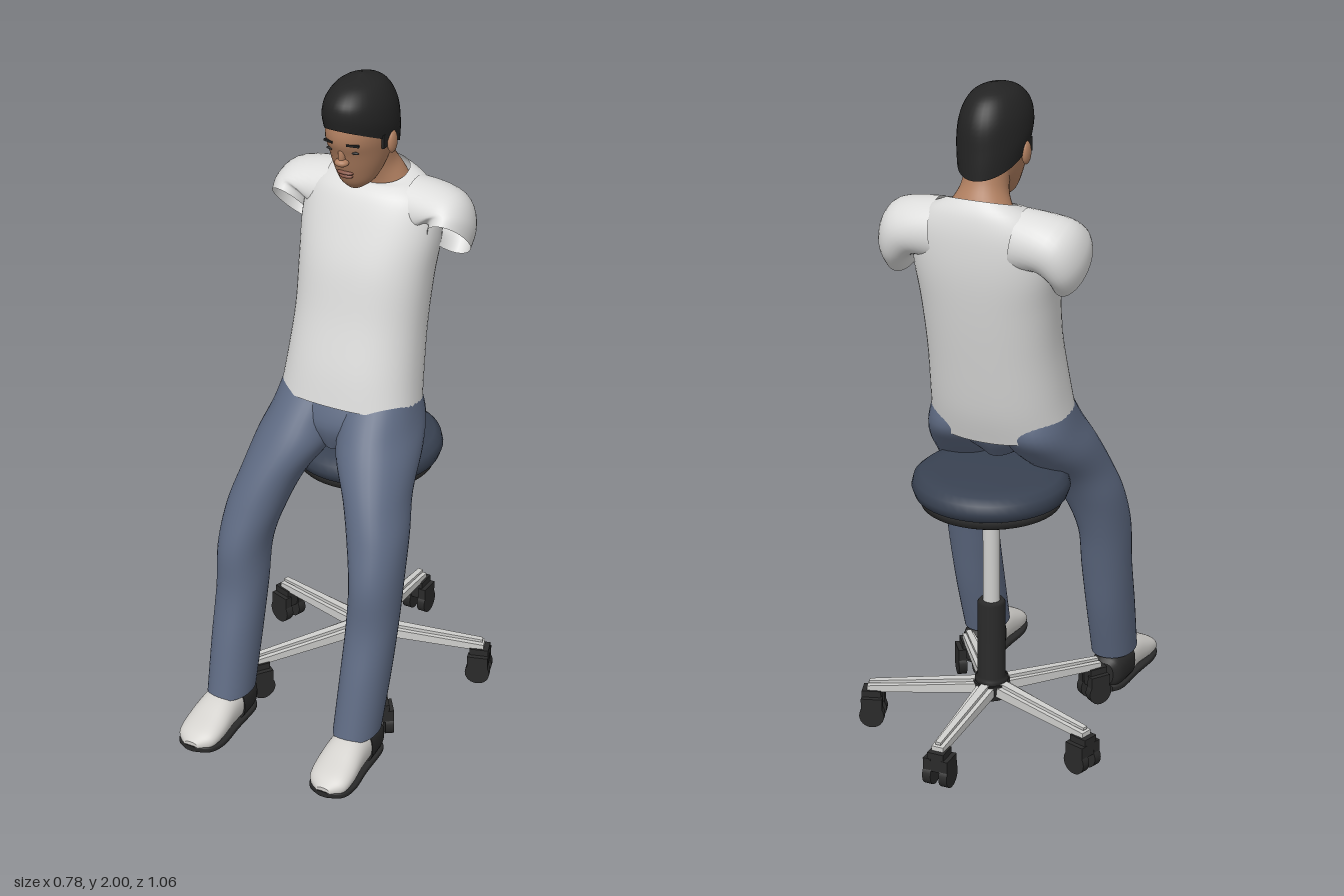
import * as THREE from 'three';

const mat = (name, color, side = THREE.FrontSide) => {
  const m = new THREE.MeshStandardMaterial({ color, side });
  m.name = name;
  return m;
};

// Smooth loft through rings, listed from start to end.
// Ring: [x, y, z, halfWidth, halfDepth, tilt about x, roll about z]
function loft(rings, { n = 36, steps = 5, power = 2, caps = true } = {}) {
  const at = (i, k) => rings[Math.min(Math.max(i, 0), rings.length - 1)][k] || 0;
  const rows = [];
  for (let i = 0; i < rings.length - 1; i++) {
    for (let s = 0; s < steps + (i === rings.length - 2 ? 1 : 0); s++) {
      const t = s / steps;
      rows.push([0, 1, 2, 3, 4, 5, 6].map((k) => {
        const [a, b, c, d] = [at(i - 1, k), at(i, k), at(i + 1, k), at(i + 2, k)];
        return b + 0.5 * t * (c - a + t * (2 * a - 5 * b + 4 * c - d + t * (3 * (b - c) + d - a)));
      }));
    }
  }
  const pos = [], idx = [], e = 2 / power;
  const bend = (v) => Math.sign(v) * Math.pow(Math.abs(v), e);
  const addRing = ([x, y, z, rx, rz, tilt, roll]) => {
    const first = pos.length / 3, euler = new THREE.Euler(tilt, 0, roll);
    for (let j = 0; j < n; j++) {
      const q = (j / n) * Math.PI * 2;
      const p = new THREE.Vector3(rx * bend(Math.cos(q)), 0, rz * bend(Math.sin(q))).applyEuler(euler);
      pos.push(x + p.x, y + p.y, z + p.z);
    }
    return first;
  };
  rows.forEach(addRing);
  for (let i = 0; i < rows.length - 1; i++) {
    for (let j = 0; j < n; j++) {
      const k = (j + 1) % n, a = i * n + j, c = i * n + k;
      idx.push(a, a + n, c, c, a + n, c + n);
    }
  }
  if (caps) {
    [rows[0], rows[rows.length - 1]].forEach((row, end) => {
      const f = addRing(row), centre = pos.length / 3;
      pos.push(row[0], row[1], row[2]);
      for (let j = 0; j < n; j++) {
        const a = f + j, b = f + (j + 1) % n;
        idx.push(centre, end ? b : a, end ? a : b);
      }
    });
  }
  const g = new THREE.BufferGeometry();
  g.setAttribute('position', new THREE.Float32BufferAttribute(pos, 3));
  g.setIndex(idx);
  g.computeVertexNormals();
  return g;
}

const lathe = (pts) => new THREE.LatheGeometry(pts.map((p) => new THREE.Vector2(...p)), 48);
const mirror = (rings, s) => rings.map(([x, y, z, a, b, t = 0, r = 0]) => [x * s, y, z, a, b, t, r * s]);

export function createModel() {
  const model = new THREE.Group();
  const shirt = mat('shirt white', 0xdcdcdb, THREE.DoubleSide);
  const denim = mat('denim blue', 0x5e6a82);
  const cushion = mat('cushion navy', 0x394252);
  const metal = mat('polished metal', 0xcfcfcd);
  const black = mat('black plastic', 0x2a2a2a);
  const hairMat = mat('hair black', 0x232323);
  const skin = mat('skin', 0xb07f60);
  const lip = mat('lip brown', 0x875748);
  const canvas = mat('shoe grey', 0xd2d0cc);

  const add = (parent, name, geo, material, x = 0, y = 0, z = 0) => {
    const m = new THREE.Mesh(geo, material);
    m.name = name;
    m.position.set(x, y, z);
    parent.add(m);
    return m;
  };
  const ellipsoid = (parent, name, material, p, s) =>
    add(parent, name, new THREE.SphereGeometry(1, 20, 14), material, ...p).scale.set(...s);

  // Stool: cushion, gas lift and hub
  const stool = new THREE.Group();
  stool.name = 'stool';
  stool.position.z = -0.135;
  model.add(stool);
  add(stool, 'seatCushion', lathe([[0, 0.775], [0.2, 0.775], [0.222, 0.785], [0.231, 0.81],
    [0.225, 0.835], [0.205, 0.852], [0.16, 0.86], [0, 0.862]]), cushion);
  add(stool, 'seatPan', lathe([[0, 0.735], [0.09, 0.738], [0.185, 0.746], [0.205, 0.756], [0.208, 0.778], [0, 0.779]]), black);
  add(stool, 'liftRod', new THREE.CylinderGeometry(0.025, 0.025, 0.33, 28), metal, 0, 0.585, 0);
  add(stool, 'liftSleeve', lathe([[0, 0.16], [0.05, 0.16], [0.05, 0.18], [0.042, 0.185], [0.042, 0.425], [0.036, 0.433], [0, 0.433]]), black);
  add(stool, 'baseHub', new THREE.CylinderGeometry(0.055, 0.05, 0.05, 32), black, 0, 0.142, 0);

  // Five tapered arms, each with a twin-wheel caster
  const arm = (w, h, lift) => {
    const g = new THREE.BoxGeometry(w, h, 0.34);
    const p = g.attributes.position;
    for (let i = 0; i < p.count; i++) {
      const out = p.getZ(i) / 0.34 + 0.5;
      p.setX(i, p.getX(i) * (1 - 0.35 * out));
      p.setY(i, p.getY(i) * (1 - 0.3 * out) + lift - 0.028 * out);
    }
    g.computeVertexNormals();
    return g;
  };
  for (let i = 0; i < 5; i++) {
    const leg = new THREE.Group();
    leg.name = 'baseLeg';
    leg.rotation.y = Math.PI + (i * Math.PI * 2) / 5;
    stool.add(leg);
    add(leg, 'legArm', arm(0.056, 0.03, 0.147), metal, 0, 0, 0.205);
    add(leg, 'legRidge', arm(0.026, 0.012, 0.166), metal, 0, 0, 0.2);
    add(leg, 'casterHood', new THREE.BoxGeometry(0.05, 0.06, 0.058), black, 0, 0.085, 0.362);
    for (const s of [-1, 1]) {
      add(leg, 'casterWheel', new THREE.CylinderGeometry(0.038, 0.038, 0.026, 24).rotateZ(Math.PI / 2), black, s * 0.026, 0.038, 0.36);
      add(leg, 'casterFender', new THREE.BoxGeometry(0.024, 0.045, 0.064), black, s * 0.027, 0.072, 0.36);
    }
  }

  // Shirt body, open at hem and collar
  add(model, 'shirtBody', loft([
    [0, 1.0, -0.045, 0.215, 0.152, -0.27], [0, 1.1, -0.07, 0.205, 0.157, -0.27],
    [0, 1.25, -0.105, 0.197, 0.152, -0.25], [0, 1.4, -0.135, 0.202, 0.148, -0.25],
    [0, 1.52, -0.165, 0.212, 0.133, -0.25], [0, 1.61, -0.185, 0.2, 0.112, -0.2],
    [0, 1.662, -0.194, 0.155, 0.088, 0], [0, 1.685, -0.188, 0.1, 0.072, 0.3],
  ], { n: 56, power: 2.3, caps: false }), shirt);

  // Trousers seat
  add(model, 'trouserHips', loft([
    [0, 0.89, -0.02, 0.05, 0.1], [0, 0.97, -0.035, 0.185, 0.14], [0, 1.06, -0.05, 0.195, 0.125],
  ]), denim);

  for (const s of [-1, 1]) {
    const side = s > 0 ? 'left' : 'right';
    // Empty sleeves, opening forward and down
    add(model, side + 'Sleeve', loft(mirror([
      [0.255, 1.525, -0.15, 0.057, 0.102, -0.78, 0.15], [0.25, 1.56, -0.178, 0.064, 0.103, -0.6, 0.35],
      [0.21, 1.587, -0.19, 0.085, 0.1, -0.3, 0.9], [0.12, 1.585, -0.19, 0.095, 0.095, 0, 1.45],
    ], s), { caps: false }), shirt);
    // Trouser legs
    add(model, side + 'TrouserLeg', loft(mirror([
      [0.217, 0.113, 0.305, 0.066, 0.085], [0.22, 0.285, 0.26, 0.07, 0.09],
      [0.221, 0.44, 0.222, 0.073, 0.088], [0.221, 0.58, 0.199, 0.074, 0.101],
      [0.202, 0.7, 0.157, 0.085, 0.107], [0.172, 0.8, 0.105, 0.093, 0.12],
      [0.133, 0.9, 0.025, 0.116, 0.15], [0.112, 0.98, -0.03, 0.113, 0.155],
      [0.095, 1.07, -0.05, 0.108, 0.11],
    ], s), { power: 2.15 }), denim);
    // Shoes
    const h = Math.PI / 2;
    add(model, side + 'ShoeUpper', loft(mirror([
      [0.22, 0.07, 0.31, 0.056, 0.062, h], [0.221, 0.067, 0.38, 0.061, 0.057, h],
      [0.223, 0.05, 0.45, 0.066, 0.042, h], [0.225, 0.038, 0.5, 0.058, 0.028, h],
      [0.226, 0.03, 0.528, 0.022, 0.012, h],
    ], s), { power: 2.3 }), canvas);
    add(model, side + 'ShoeHeel', loft(mirror([
      [0.22, 0.06, 0.215, 0.03, 0.035, h], [0.22, 0.062, 0.24, 0.051, 0.054, h],
      [0.22, 0.066, 0.325, 0.06, 0.062, h],
    ], s), { power: 2.6 }), black);
    add(model, side + 'ShoeSole', loft(mirror([
      [0.22, 0.012, 0.215, 0.03, 0.012, h], [0.22, 0.012, 0.25, 0.053, 0.012, h],
      [0.221, 0.012, 0.36, 0.06, 0.012, h], [0.223, 0.013, 0.45, 0.069, 0.012, h],
      [0.225, 0.017, 0.505, 0.057, 0.012, h], [0.226, 0.021, 0.531, 0.018, 0.009, h],
    ], s), { power: 4 }), black);
    // Ears, eyes and brows
    ellipsoid(model, side + 'Ear', skin, [s * 0.096, 1.812, -0.105], [0.012, 0.034, 0.021]);
    ellipsoid(model, side + 'Eye', black, [s * 0.036, 1.806, 0.007], [0.016, 0.0045, 0.005]);
    const brow = add(model, side + 'Brow', new THREE.BoxGeometry(0.036, 0.006, 0.008), hairMat, s * 0.038, 1.832, 0.018);
    brow.rotation.set(0, s * 0.38, s * -0.08);
  }

  // Neck and bowed head
  add(model, 'neck', loft([
    [0, 1.63, -0.2, 0.115, 0.078, 0.15], [0, 1.68, -0.188, 0.088, 0.07, 0.25],
    [0, 1.73, -0.165, 0.066, 0.066, 0.3], [0, 1.82, -0.135, 0.066, 0.07, 0.2],
  ]), skin);
  add(model, 'face', loft([
    [0, 1.672, -0.075, 0.022, 0.028], [0, 1.695, -0.083, 0.05, 0.058],
    [0, 1.74, -0.095, 0.071, 0.09], [0, 1.79, -0.1, 0.084, 0.113],
    [0, 1.83, -0.1, 0.09, 0.129], [0, 1.87, -0.1, 0.09, 0.128],
    [0, 1.93, -0.1, 0.08, 0.11], [0, 1.97, -0.1, 0.045, 0.06],
  ]), skin);
  ellipsoid(model, 'noseBridge', skin, [0, 1.795, 0.01], [0.011, 0.032, 0.014]);
  ellipsoid(model, 'noseTip', skin, [0, 1.772, 0.012], [0.021, 0.012, 0.019]);
  ellipsoid(model, 'upperLip', lip, [0, 1.734, -0.008], [0.026, 0.006, 0.01]);
  ellipsoid(model, 'lowerLip', lip, [0, 1.723, -0.012], [0.022, 0.007, 0.01]);

  // Hair cap, dropping towards the nape
  add(model, 'hair', loft([
    [0, 1.815, -0.105, 0.094, 0.151, -0.4], [0, 1.87, -0.1, 0.1, 0.146, -0.3],
    [0, 1.93, -0.1, 0.09, 0.13, -0.15], [0, 1.977, -0.1, 0.06, 0.085, -0.05],
    [0, 1.999, -0.1, 0.008, 0.01, 0],
  ]), hairMat);
  for (const s of [-1, 1]) {
    add(model, 'sideburn', new THREE.BoxGeometry(0.008, 0.04, 0.022), hairMat, s * 0.09, 1.825, -0.07);
  }
  return model;
}
